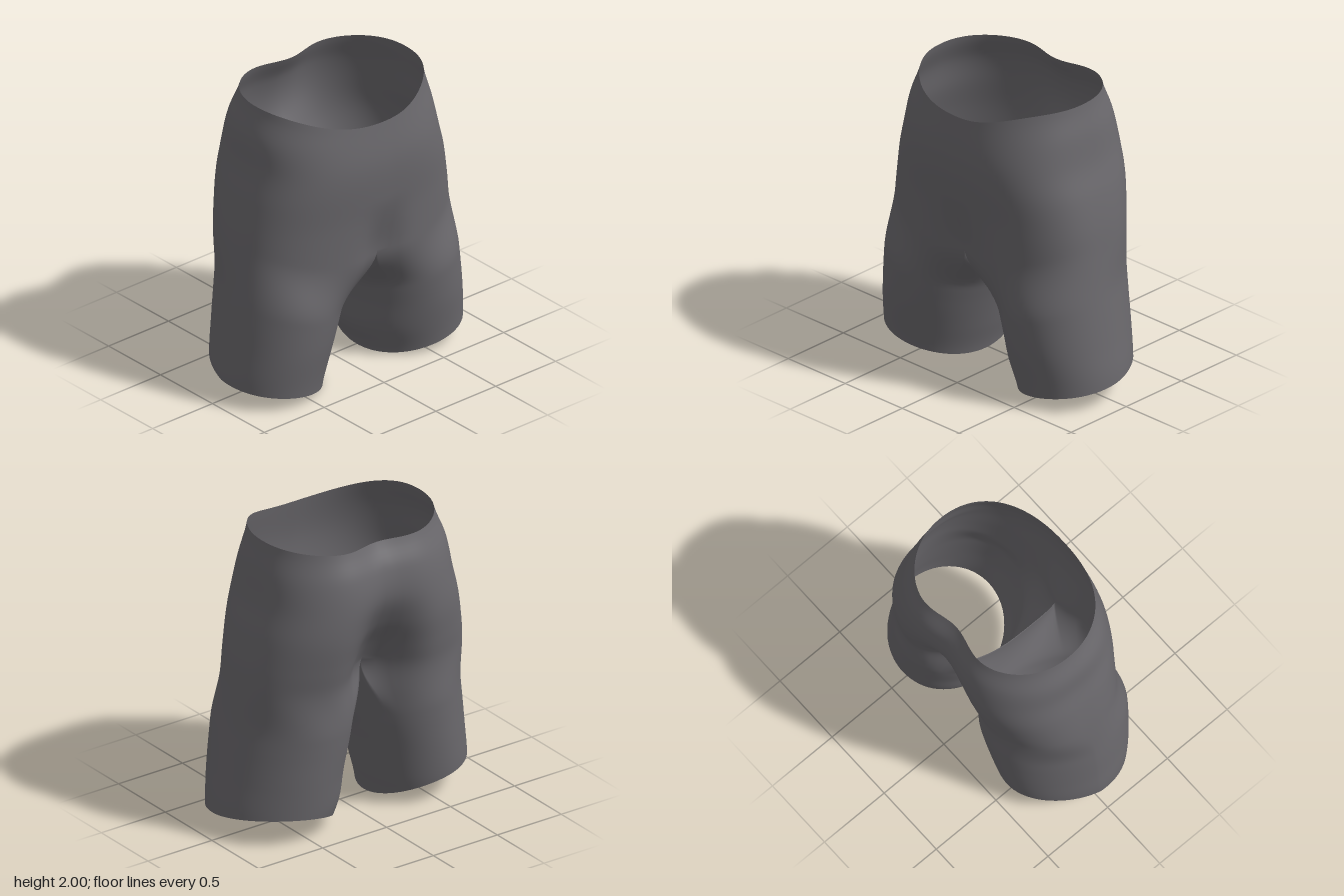
import * as THREE from 'three';
import { mergeVertices } from 'three/addons/utils/BufferGeometryUtils.js';

const { lerp, smoothstep, clamp } = THREE.MathUtils;

// Smooth profile over height: evenly spaced samples from y = 0 to y = 2
function profile(...values) {
  const curve = new THREE.SplineCurve(values.map((v, i) => new THREE.Vector2(i, v)));
  return (y) => curve.getPoint(clamp(y / 2, 0, 1)).y;
}

const frontDepth = profile(0.4, 0.463, 0.497, 0.52, 0.547, 0.5);
const backDepth = profile(0.39, 0.42, 0.44, 0.455, 0.47, 0.5, 0.54, 0.57, 0.572, 0.55, 0.495);
const frontDip = (y) => 0.07 * (1 - smoothstep(y, 0.9, 1.35));
const backDip = profile(0.3, 0.3, 0.3, 0.3, 0.3, 0.3, 0.25, 0.16, 0.08, 0.075, 0.11);
const roundness = profile(0.8, 0.8, 0.8, 0.8, 0.81, 0.93);

// The cloth hangs slightly differently on each side
const SIDES = [
  {
    sign: 1,
    width: profile(0.935, 0.925, 0.895, 0.865, 0.835, 0.81, 0.785, 0.745, 0.69, 0.655, 0.61),
    inner: profile(0.195, 0.125, 0.1, 0.06, 0.03, 0, 0, 0, 0, 0, 0),
    rimPower: 4.5,
    backTaper: 1.08,
  },
  {
    sign: -1,
    width: profile(0.93, 0.93, 0.91, 0.89, 0.865, 0.84, 0.81, 0.77, 0.72, 0.69, 0.625),
    inner: profile(0.2, 0.155, 0.11, 0.06, 0.03, 0, 0, 0, 0, 0, 0),
    rimPower: 2.5,
    backTaper: 1.25,
  },
];

const OUTER = 56, INNER = 24, TORSO_ROWS = 28, LEG_ROWS = 36;

// Half outline of the hips, t = 0 at the front centre, 1 at the back centre
function hipPoint(side, t, y) {
  const a = Math.PI * t, c = Math.cos(a), p = roundness(y);
  const x = t === 0 || t === 1 ? 0 : side.width(y) * Math.pow(Math.sin(a), p);
  const z = c > 0
    ? frontDepth(y) * Math.pow(c, p) - frontDip(y) * Math.exp(-((x / 0.14) ** 2))
    : -backDepth(y) * Math.pow(-c, p) + backDip(y) * Math.exp(-((x / 0.22) ** 2));
  return new THREE.Vector3(x, y, z);
}

// Oval leg outline, angle measured from the front towards the outside;
// the outer back is flatter and the oval leans slightly outwards at the front
function legPoint(side, angle, y) {
  const outer = side.width(y), inner = side.inner(y), f = frontDepth(y), b = backDepth(y);
  const c = Math.cos(angle);
  const depth = c < 0 && Math.sin(angle) > 0 ? -Math.pow(-c, side.backTaper) : c;
  return new THREE.Vector3(
    (outer + inner) / 2 + (outer - inner) / 2 * Math.sin(angle + 0.08),
    y,
    (f - b) / 2 + (f + b) / 2 * depth);
}

function waistHeight(side, t) {
  const c = Math.cos(Math.PI * t);
  return c > 0 ? 2 - 0.11 * Math.pow(c, side.rimPower) : 2 - 0.03 * c * c;
}

const hemHeight = (a) => 0.1 + 0.07 * Math.sin(a) - 0.05 * Math.cos(a) + 0.02 * Math.cos(2 * a);

// Height at which the hips turn into the legs
const splitHeight = (t) => 0.93 + 0.17 * smoothstep(t, 0, 0.5);

// Seam under the crotch, from the back centre to the front centre
const crotchSeam = new THREE.CatmullRomCurve3([
  hipPoint(SIDES[0], 1, splitHeight(1)),
  new THREE.Vector3(0, 0.98, -0.1),
  new THREE.Vector3(0, 0.91, 0.04),
  new THREE.Vector3(0, 0.89, 0.22),
  new THREE.Vector3(0, 0.895, 0.36),
  hipPoint(SIDES[0], 0, splitHeight(0)),
]);

function hipRows(side) {
  const rows = [];
  for (let i = 0; i <= TORSO_ROWS; i++) {
    const row = [];
    for (let j = 0; j <= OUTER; j++) {
      const t = j / OUTER;
      row.push(hipPoint(side, t, lerp(waistHeight(side, t), splitHeight(t), i / TORSO_ROWS)));
    }
    rows.push(row);
  }
  return rows;
}

function legRows(side) {
  const rows = [];
  for (let i = 0; i <= LEG_ROWS; i++) {
    const v = i / LEG_ROWS, blend = smoothstep(v, 0, 0.42);
    const row = [];
    for (let j = 0; j < OUTER + INNER; j++) {
      const onOuter = j <= OUTER, t = j / OUTER, k = (j - OUTER) / INNER;
      const angle = onOuter ? Math.PI * (-0.25 + 1.5 * t) : Math.PI * (1.25 + 0.5 * k);
      const start = onOuter ? hipPoint(side, t, splitHeight(t)) : crotchSeam.getPoint(k);
      const y = lerp(start.y, hemHeight(angle), v);
      // The start shape fades into the oval leg on the way down
      const from = onOuter ? hipPoint(side, t, y) : start.setY(y);
      row.push(from.lerp(legPoint(side, angle, y), blend));
    }
    row.push(row[0].clone());
    rows.push(row);
  }
  return rows;
}

// Adds the triangles of a grid of points, mirrored when sign = -1
function addGrid(out, rows, sign) {
  const put = (...points) => {
    if (sign < 0) points.reverse();
    for (const p of points) out.push(p.x * sign, p.y, p.z);
  };
  for (let i = 0; i + 1 < rows.length; i++) {
    for (let j = 0; j + 1 < rows[i].length; j++) {
      const a = rows[i][j], b = rows[i][j + 1], c = rows[i + 1][j], d = rows[i + 1][j + 1];
      put(a, c, b);
      put(b, c, d);
    }
  }
}

export function createModel() {
  const positions = [];
  for (const side of SIDES) {
    addGrid(positions, hipRows(side), side.sign);
    addGrid(positions, legRows(side), side.sign);
  }
  let geometry = new THREE.BufferGeometry();
  geometry.setAttribute('position', new THREE.Float32BufferAttribute(positions, 3));
  geometry = mergeVertices(geometry, 1e-4);
  geometry.computeVertexNormals();

  // One thin cloth shell, open at the waist and both hems
  const cloth = new THREE.MeshStandardMaterial({ color: 0x6a686c, side: THREE.DoubleSide });
  const shorts = new THREE.Mesh(geometry, cloth);
  shorts.name = 'shorts';
  const model = new THREE.Group();
  model.name = 'shortTrousers';
  model.add(shorts);
  return model;
}
